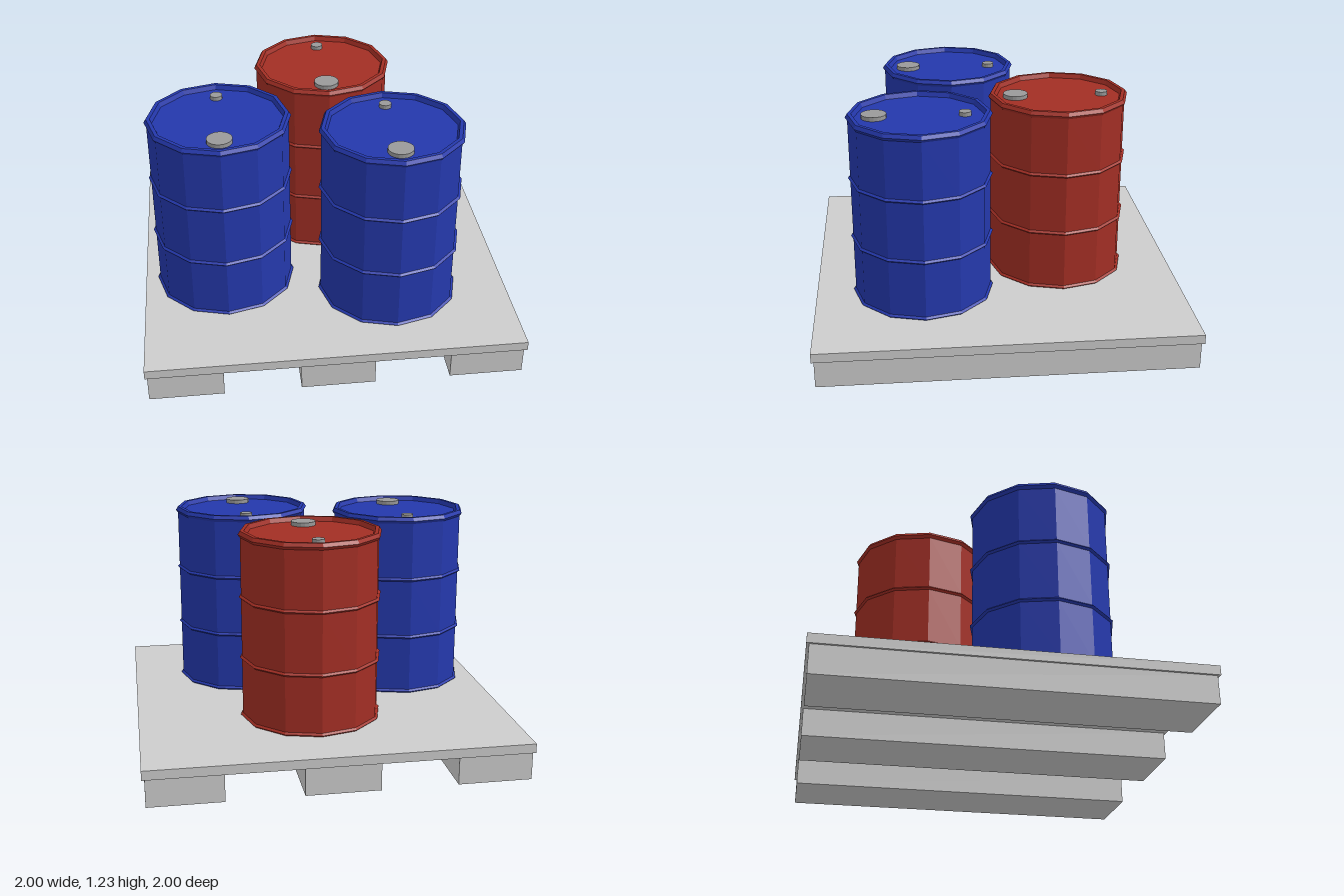
import * as THREE from 'three';

const mat = (name, color) => {
  const m = new THREE.MeshStandardMaterial({ color, flatShading: true });
  m.name = name;
  return m;
};

export function createModel() {
  const blue = mat('blue paint', 0x2438ac);
  const red = mat('red paint', 0xa22e24);
  const palletGrey = mat('pallet grey', 0xcccccc);
  const capGrey = mat('cap grey', 0x999999);

  const model = new THREE.Group();
  model.name = 'drumsOnPallet';

  const add = (parent, name, geometry, material, x, y, z) => {
    const mesh = new THREE.Mesh(geometry, material);
    mesh.name = name;
    mesh.position.set(x, y, z);
    parent.add(mesh);
    return mesh;
  };

  // Pallet: deck on three runners
  const pallet = new THREE.Group();
  pallet.name = 'pallet';
  model.add(pallet);
  add(pallet, 'deck', new THREE.BoxGeometry(2, 0.05, 2), palletGrey, 0, 0.175, 0);
  const runner = new THREE.BoxGeometry(0.39, 0.15, 1.975);
  for (const x of [-0.793, 0, 0.79]) add(pallet, 'runner', runner, palletGrey, x, 0.075, 0);

  // Drum profile, from the base centre up to the recessed lid
  const body = 0.372, rim = 0.384;
  const profile = [[0, 0], [body, 0], [rim, 0.01], [body, 0.02]];
  for (const y of [0.335, 0.67]) {
    profile.push([body, y - 0.01], [rim, y], [body, y + 0.01]);
  }
  profile.push([body, 0.99], [rim, 1.006], [0.372, 1.025], [0.352, 1.025], [0.342, 1.0], [0, 1.0]);
  const drumGeometry = new THREE.LatheGeometry(profile.map(([r, y]) => new THREE.Vector2(r, y)), 12);
  const largeCap = new THREE.CylinderGeometry(0.067, 0.067, 0.022, 20);
  const smallCap = new THREE.CylinderGeometry(0.033, 0.033, 0.022, 16);

  const addDrum = (name, paint, x, z) => {
    const drum = new THREE.Group();
    drum.name = name;
    drum.position.set(x, 0.2, z);
    model.add(drum);
    add(drum, 'drumBody', drumGeometry, paint, 0, 0, 0);
    add(drum, 'largeCap', largeCap, capGrey, 0, 1.011, 0.235);
    add(drum, 'smallCap', smallCap, capGrey, 0, 1.011, -0.24);
  };
  addDrum('rightDrum', blue, -0.548, 0.218);
  addDrum('leftDrum', blue, 0.343, 0.415);
  addDrum('backDrum', red, 0.063, -0.354);

  return model;
}
